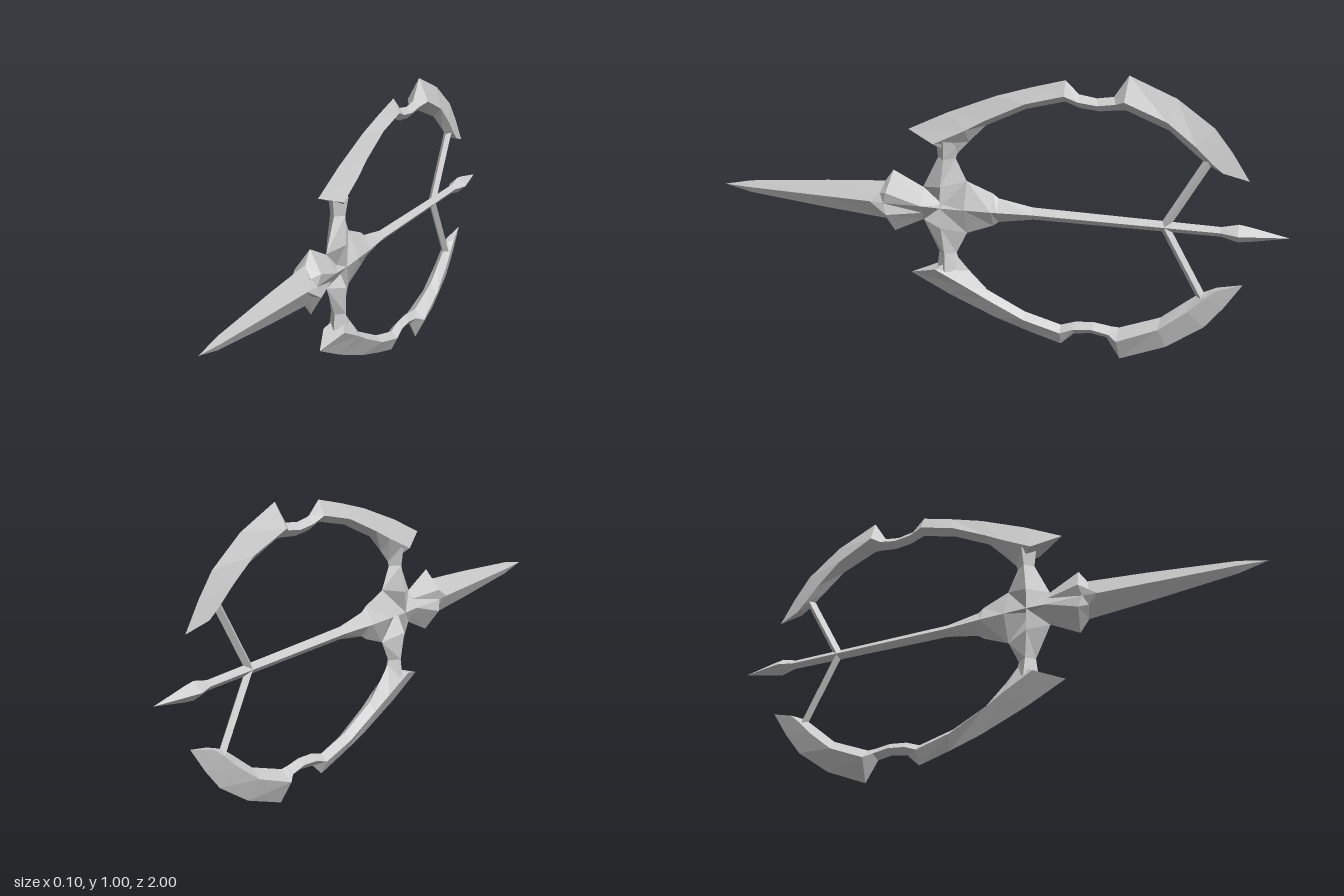
import * as THREE from 'three';

const steel = new THREE.MeshStandardMaterial({ color: 0xcccccc, flatShading: true });
steel.name = 'steel grey';

// Skin a list of rings (arrays of [x, y, z]) into a closed faceted solid
function loft(name, rings) {
  const n = rings[0].length, tris = [];
  for (let i = 0; i < rings.length - 1; i++) {
    for (let j = 0; j < n; j++) {
      const k = (j + 1) % n, p = rings[i], q = rings[i + 1];
      tris.push([p[j], q[j], q[k]], [p[j], q[k], p[k]]);
    }
  }
  // End caps, fanned from the second point
  const first = rings[0], last = rings[rings.length - 1];
  for (let j = 2; j < n; j++) {
    const k = (j + 1) % n;
    tris.push([first[1], first[j], first[k]], [last[1], last[k], last[j]]);
  }
  const V = (p) => new THREE.Vector3(...p);
  let volume = 0;
  for (const [a, b, c] of tris) volume += V(a).dot(V(b).cross(V(c)));
  if (volume < 0) tris.forEach((t) => t.reverse());
  const geo = new THREE.BufferGeometry();
  geo.setAttribute('position', new THREE.Float32BufferAttribute(tris.flat(2), 3));
  geo.computeVertexNormals();
  const mesh = new THREE.Mesh(geo, steel);
  mesh.name = name;
  return mesh;
}

// Four-sided section: edge a, side ridge r at half-width w, edge b
const section = ([za, ya, zr, yr, w, zb, yb], s = 1) =>
  [[0, ya * s, za], [w, yr * s, zr], [0, yb * s, zb], [-w, yr * s, zr]];

// Straight diamond bar along z from [z, half-height, half-width]
const bar = (name, list) =>
  loft(name, list.map(([z, h, w]) => section([z, h, z, 0, w, z, -h])));

export function createModel() {
  const model = new THREE.Group();
  model.name = 'bladedWeapon';
  const body = new THREE.Group();
  body.name = 'body';
  body.position.y = 0.502;
  model.add(body);

  // Long front blade
  body.add(bar('frontBlade', [
    [1, 0, 0], [0.9, 0.022, 0.011], [0.6, 0.052, 0.027], [0.38, 0.07, 0.038], [0.27, 0.045, 0.033],
  ]));

  // Spiked collar behind the blade
  const collarRing = ([zt, yt], [zs, ys, xs], [zm, xm]) => [
    [0, yt, zt], [xs, ys, zs], [xm, 0, zm], [xs, -ys, zs],
    [0, -yt, zt], [-xs, -ys, zs], [-xm, 0, zm], [-xs, ys, zs],
  ];
  body.add(loft('collar', [
    collarRing([0.39, 0.066], [0.4, 0.03, 0.026], [0.437, 0.034]),
    collarRing([0.357, 0.112], [0.372, 0.04, 0.048], [0.385, 0.041]),
    collarRing([0.25, 0.059], [0.25, 0.03, 0.019], [0.25, 0.037]),
  ]));

  // Star hub: arms spreading from a central point
  body.add(bar('hubFrontArm', [[0.18, 0, 0.04], [0.25, 0.06, 0.037], [0.3, 0.06, 0.032]]));
  body.add(bar('shaft', [
    [0.18, 0, 0.04], [0.094, 0.095, 0.037], [0, 0.058, 0.033], [-0.02, 0.043, 0.031],
    [-0.14, 0.022, 0.02], [-0.78, 0.017, 0.015],
  ]));
  body.add(bar('rearPoint', [
    [-0.77, 0.016, 0.014], [-0.83, 0.031, 0.034], [-0.87, 0.025, 0.026], [-0.995, 0, 0],
  ]));

  // Curved blade: outer edge, side ridge, inner edge
  const curve = [
    [0.3, 0.263, 0.2, 0.228, 0.04, 0.13, 0.185],
    [0.16, 0.332, 0.09, 0.283, 0.036, 0.085, 0.235],
    [-0.01, 0.402, 0.02, 0.322, 0.03, 0.024, 0.298],
    [-0.13, 0.44, -0.115, 0.388, 0.026, -0.115, 0.366],
    [-0.244, 0.472, -0.244, 0.423, 0.024, -0.244, 0.4],
    [-0.29, 0.428, -0.29, 0.405, 0.02, -0.295, 0.382],
    [-0.35, 0.419, -0.355, 0.398, 0.02, -0.36, 0.376],
    [-0.405, 0.428, -0.415, 0.408, 0.022, -0.42, 0.384],
    [-0.453, 0.502, -0.445, 0.422, 0.04, -0.448, 0.385],
    [-0.61, 0.437, -0.585, 0.364, 0.03, -0.588, 0.33],
    [-0.735, 0.348, -0.68, 0.288, 0.024, -0.67, 0.262],
    [-0.795, 0.272, -0.735, 0.234, 0.02, -0.715, 0.226],
    [-0.855, 0.18, -0.77, 0.205, 0.016, -0.745, 0.212],
  ];
  // Vertical hub arm, from the hub centre to the curved blade
  const arm = [
    [0.18, 0, 0.18, 0, 0.04, 0.18, 0],
    [0.25, 0.06, 0.178, 0.075, 0.036, 0.094, 0.095],
    [0.195, 0.172, 0.168, 0.172, 0.028, 0.132, 0.172],
    [0.203, 0.235, 0.165, 0.235, 0.038, 0.11, 0.235],
  ];
  // Slim brace between shaft and blade tip
  const brace = [
    [-0.574, 0.008, -0.587, 0, 0.015, -0.6, -0.008],
    [-0.709, 0.248, -0.722, 0.24, 0.015, -0.735, 0.232],
  ];
  for (const [side, s] of [['upper', 1], ['lower', -1]]) {
    const add = (name, list) => body.add(loft(side + name, list.map((p) => section(p, s))));
    add('CurvedBlade', curve);
    add('HubArm', arm);
    add('Brace', brace);
  }
  return model;
}
